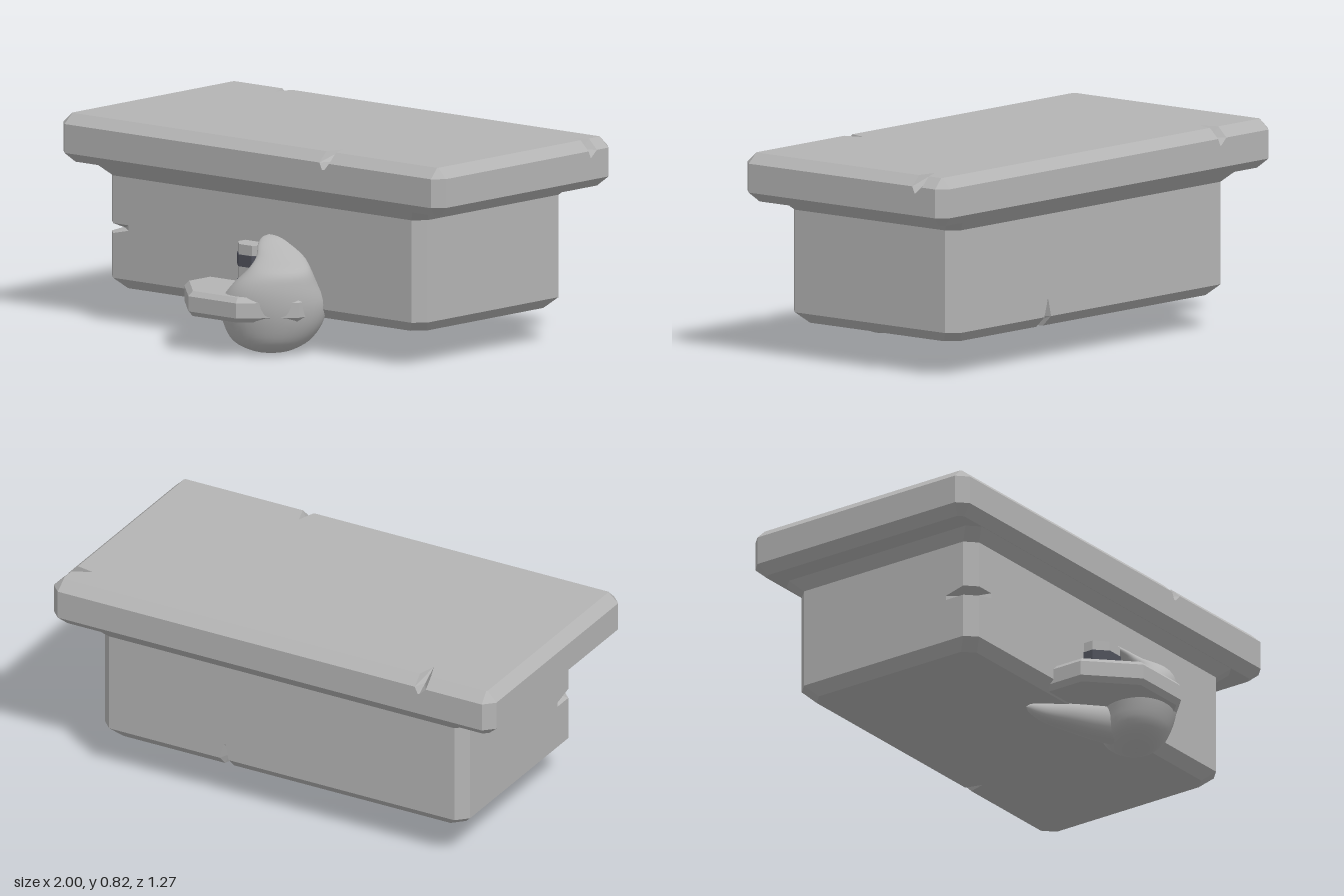
import * as THREE from 'three';

const stone = new THREE.MeshStandardMaterial({ color: 0xb4b4b4 });
stone.name = 'stoneGrey';
const stoneFlat = stone.clone();
stoneFlat.flatShading = true;
const bandDark = new THREE.MeshStandardMaterial({ color: 0x50525c, flatShading: true });
bandDark.name = 'bandSlate';

// Faceted solid from stacked outlines, each { y, pts: [x, z][] }, bottom to top
function stack(rings) {
  const pos = [];
  const put = (ring, i) => pos.push(ring.pts[i][0], ring.y, ring.pts[i][1]);
  const n = rings[0].pts.length;
  for (let k = 0; k + 1 < rings.length; k++) {
    const lo = rings[k], hi = rings[k + 1];
    for (let i = 0; i < n; i++) {
      const j = (i + 1) % n;
      put(lo, i); put(lo, j); put(hi, j);
      put(lo, i); put(hi, j); put(hi, i);
    }
  }
  const cap = (ring, up) => {
    const flat = ring.pts.map(([x, z]) => new THREE.Vector2(x, -z));
    for (const [a, b, c] of THREE.ShapeUtils.triangulateShape(flat, [])) {
      (up ? [a, b, c] : [a, c, b]).forEach((i) => put(ring, i));
    }
  };
  cap(rings[0], false);
  cap(rings[rings.length - 1], true);
  const geo = new THREE.BufferGeometry();
  geo.setAttribute('position', new THREE.Float32BufferAttribute(pos, 3));
  geo.computeVertexNormals();
  return geo;
}

// Smooth skin over rings of equal length, bottom to top
function skin(rings) {
  const n = rings[0].length, index = [];
  for (let k = 0; k + 1 < rings.length; k++) {
    for (let i = 0; i < n; i++) {
      const a = k * n + i, b = k * n + (i + 1) % n;
      index.push(a, b, b + n, a, b + n, a + n);
    }
  }
  const geo = new THREE.BufferGeometry().setFromPoints(rings.flat());
  geo.setIndex(index);
  geo.computeVertexNormals();
  return geo;
}

// Slab outline: chamfered rectangle with a chip in the front, right and back edges
function slabRing(y, inset, chamfer, chip) {
  const x = 1 - inset, f = 0.413 - inset, b = -0.635 + inset, c = chamfer;
  const w = chip > 0 ? 0.025 : 0.012;
  return { y, pts: [
    [-x + c, f], [0.4 - w, f], [0.4, f - chip], [0.4 + w, f], [x - c, f],
    [x, f - c], [x, -0.5 + w], [x - chip, -0.49], [x, -0.5 - w], [x, b + c],
    [x - c, b], [-0.68 + w, b], [-0.675, b + chip], [-0.68 - w, b], [-x + c, b],
    [-x, b + c], [-x, f - c],
  ] };
}

// Block outline: chip in the back edge and a gouge in the front corner
function blockRing(y, inset, chip = 0, gouge = 0) {
  const x = 0.825 - inset, f = 0.327 - inset, b = -0.54 + inset, c = 0.045, g = gouge;
  const w = chip > 0 ? 0.02 : 0.004;
  return { y, pts: [
    [-x + c + g * 0.4, f - g], [-0.7, f], [x - c, f], [x, f - c],
    [x, b + c], [x - c, b], [0.26 + w, b], [0.26, b + chip], [0.26 - w, b],
    [-x + c, b], [-x, b + c], [-x, f - 0.13], [-x + g, f - c - g * 0.4],
  ] };
}

export function createModel() {
  const root = new THREE.Group();
  const add = (name, geo, mat, parent = root) => {
    const mesh = new THREE.Mesh(geo, mat);
    mesh.name = name;
    parent.add(mesh);
    return mesh;
  };

  // Top slab with bevelled edges
  add('topSlab', stack([
    slabRing(0.632, 0.042, 0.02, 0),
    slabRing(0.67, 0, 0.042, 0),
    slabRing(0.757, 0, 0.042, 0),
    slabRing(0.785, 0, 0.042, 0.05),
    slabRing(0.825, 0.042, 0.004, 0.075),
  ]), stoneFlat);

  // Supporting block flaring into the slab
  add('supportBlock', stack([
    blockRing(0.14, 0.042, 0.07),
    blockRing(0.182, 0, 0.05),
    blockRing(0.25, 0),
    blockRing(0.36, 0),
    blockRing(0.378, 0, 0, 0.05),
    blockRing(0.4, 0),
    blockRing(0.59, 0),
    blockRing(0.634, -0.044),
  ]), stoneFlat);

  // Octagonal holder: dish, stem and dark bands
  const holder = new THREE.Group();
  holder.name = 'holder';
  holder.position.set(0.01, 0, 0.335);
  root.add(holder);
  const lathe = (pts) => new THREE.LatheGeometry(
    pts.map(([r, y]) => new THREE.Vector2(r, y)), 8, Math.PI / 8);
  add('dish', lathe([[0, 0.145], [0.305, 0.145], [0.325, 0.165], [0.325, 0.225],
    [0.305, 0.245], [0, 0.245]]), stoneFlat, holder);
  const tube = (r, y0, y1) => lathe([[0, y0], [r, y0], [r, y1], [0, y1]]);
  add('stem', tube(0.088, 0.24, 0.413), stoneFlat, holder).position.x = -0.018;
  for (const [y0, y1] of [[0.243, 0.265], [0.325, 0.372]]) {
    add('stemBand', tube(0.092, y0, y1), bandDark, holder).position.x = -0.018;
  }

  // Smooth melted mass; rows: y, centre x, centre z, long radius, short radius
  const rows = [
    [0.002, 0.13, 0.42, 0.001, 0.001], [0.012, 0.13, 0.42, 0.075, 0.06],
    [0.05, 0.125, 0.415, 0.15, 0.12], [0.12, 0.135, 0.415, 0.195, 0.145],
    [0.2, 0.14, 0.42, 0.21, 0.155], [0.28, 0.17, 0.445, 0.168, 0.115],
    [0.34, 0.185, 0.435, 0.125, 0.088], [0.38, 0.15, 0.39, 0.095, 0.06],
    [0.42, 0.095, 0.355, 0.07, 0.04], [0.443, 0.065, 0.342, 0.04, 0.024],
    [0.452, 0.045, 0.338, 0.001, 0.001],
  ];
  const spline = (pts) => new THREE.CatmullRomCurve3(pts, false, 'catmullrom', 0.5);
  const centre = spline(rows.map(([y, x, z]) => new THREE.Vector3(x, y, z)));
  const radii = spline(rows.map(([, , , a, b]) => new THREE.Vector3(a, b, 0)));
  const rings = [];
  for (let k = 0; k <= 40; k++) {
    const p = centre.getPoint(k / 40), r = radii.getPoint(k / 40);
    rings.push(Array.from({ length: 32 }, (_, i) => {
      const t = (i / 32) * Math.PI * 2;
      const u = r.x * Math.cos(t), v = r.y * Math.sin(t);
      return new THREE.Vector3(p.x + (u - v) * Math.SQRT1_2, p.y, p.z - (u + v) * Math.SQRT1_2);
    }));
  }
  add('meltedMass', skin(rings), stone);

  // Tapering tail running under the block
  const path = spline([[0.12, 0.115, 0.4], [0, 0.105, 0.33], [-0.1, 0.11, 0.26],
    [-0.18, 0.112, 0.205], [-0.24, 0.13, 0.155]].map((p) => new THREE.Vector3(...p)));
  const tail = new THREE.TubeGeometry(path, 32, 1, 20);
  const pos = tail.attributes.position, v = new THREE.Vector3();
  for (let i = 0; i < pos.count; i++) {
    const t = Math.floor(i / 21) / 32, c = path.getPointAt(t);
    const r = (0.095 - 0.06 * t) * Math.sqrt(Math.max(0, 1 - t ** 6));
    v.fromBufferAttribute(pos, i).sub(c).multiplyScalar(r).add(c);
    pos.setXYZ(i, v.x, v.y, v.z);
  }
  tail.computeVertexNormals();
  add('meltedTail', tail, stone);

  return root;
}
